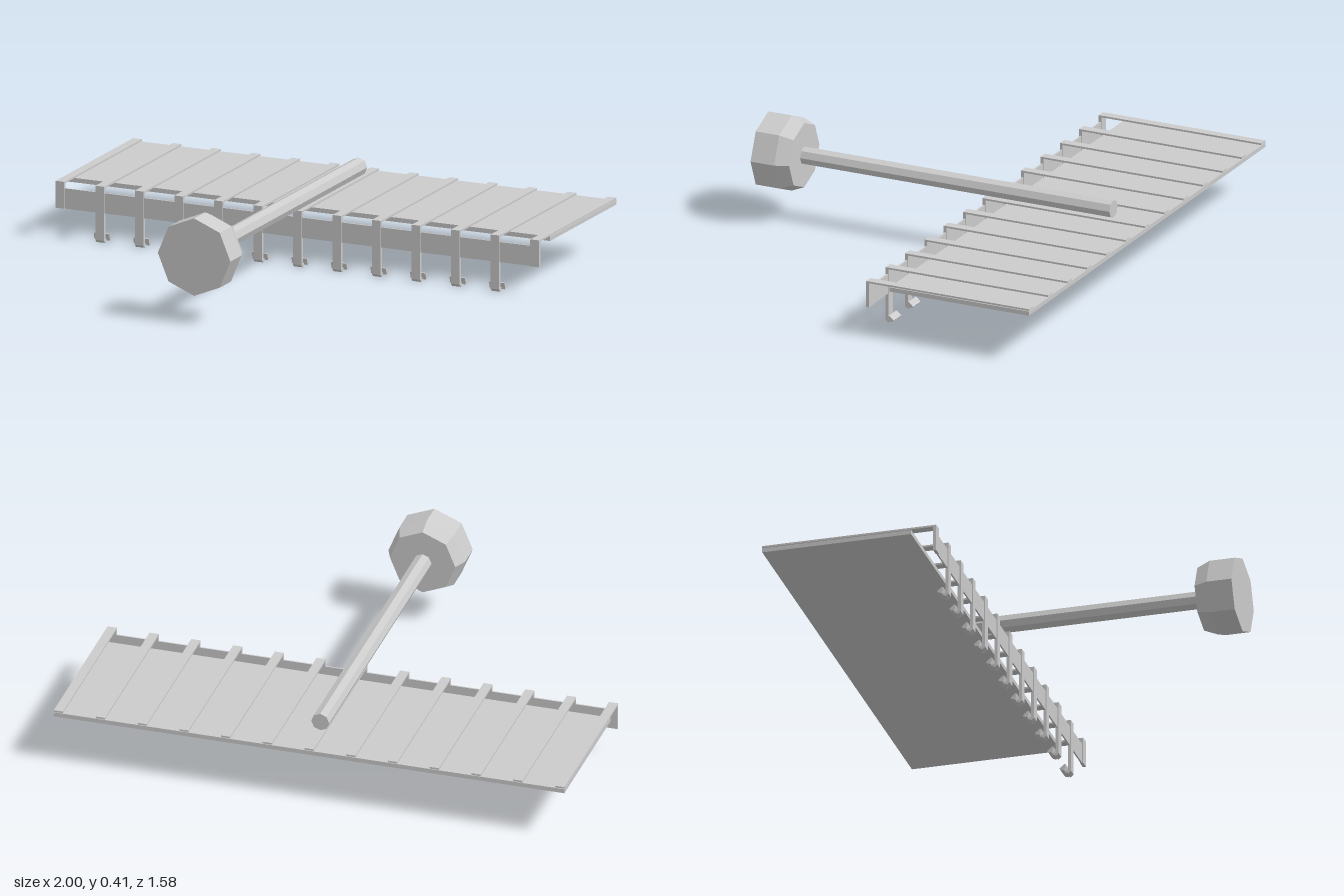
import * as THREE from 'three';

const material = new THREE.MeshStandardMaterial({ color: 0xcccccc, flatShading: true, side: THREE.DoubleSide });

function add(group, name, geometry) {
  const mesh = new THREE.Mesh(geometry, material);
  mesh.name = name;
  group.add(mesh);
  return mesh;
}

// Box given by its minimum and maximum on each axis
function block(x0, x1, y0, y1, z0, z1) {
  return new THREE.BoxGeometry(x1 - x0, y1 - y0, z1 - z0)
    .translate((x0 + x1) / 2, (y0 + y1) / 2, (z0 + z1) / 2);
}

// Side profile given as [z, y] points, extruded across x and centred on x
function sideProfile(points, width, x) {
  const shape = new THREE.Shape(points.map(([z, y]) => new THREE.Vector2(z, y)));
  return new THREE.ExtrudeGeometry(shape, { depth: width, bevelEnabled: false })
    .rotateY(-Math.PI / 2)
    .translate(x + width / 2, 0, 0);
}

export function createModel() {
  const model = new THREE.Group();
  model.name = 'rake';

  const back = -0.79, front = -0.112, inner = -0.124;
  const top = 0.222, under = 0.215, strapWidth = 0.036;

  // Flat plate and the cross rail in front of it
  add(model, 'plate', block(-1, 1, 0.196, 0.213, back, -0.21));
  add(model, 'crossRail', block(-0.998, 0.998, 0.118, 0.196, inner + 0.002, front - 0.004));

  // Straps over the plate, each bending down into a hooked tine
  const tineProfile = [
    [back, under], [back, top], [front, top], [front, 0.012], [-0.122, 0.002],
    [-0.15, 0.017], [-0.146, 0.023], [-0.124, 0.013], [inner, under],
  ];
  const barbProfile = [[-0.129, 0.035], [-0.134, 0.036], [-0.153, 0.02], [-0.147, 0.014], [-0.134, 0.01]];
  for (let i = -5; i <= 5; i++) {
    const x = i * 0.1635;
    const tine = new THREE.Group();
    tine.name = 'tine';
    add(tine, 'strap', sideProfile(tineProfile, strapWidth, x));
    add(tine, 'barb', sideProfile(barbProfile, 0.064, x));
    model.add(tine);
  }

  // Shorter straps that hold the ends of the rail
  const endProfile = [
    [back, under], [back, top], [front, top], [front, 0.118], [inner, 0.118], [inner, under],
  ];
  for (const side of [-1, 1]) add(model, 'endStrap', sideProfile(endProfile, strapWidth, side * 0.982));

  // Eight-sided handle
  const axisY = 0.262;
  add(model, 'handle', new THREE.CylinderGeometry(0.035, 0.035, 1.295, 8).rotateX(Math.PI / 2))
    .position.set(0, axisY, -0.0025);

  // Eight-sided knob with a taper towards the handle
  const knobProfile = [[0, 0.64], [0.128, 0.64], [0.15, 0.692], [0.15, 0.79], [0, 0.79]]
    .map(([r, z]) => new THREE.Vector2(r, z));
  add(model, 'knob', new THREE.LatheGeometry(knobProfile, 8).rotateX(Math.PI / 2))
    .position.y = axisY;

  return model;
}
